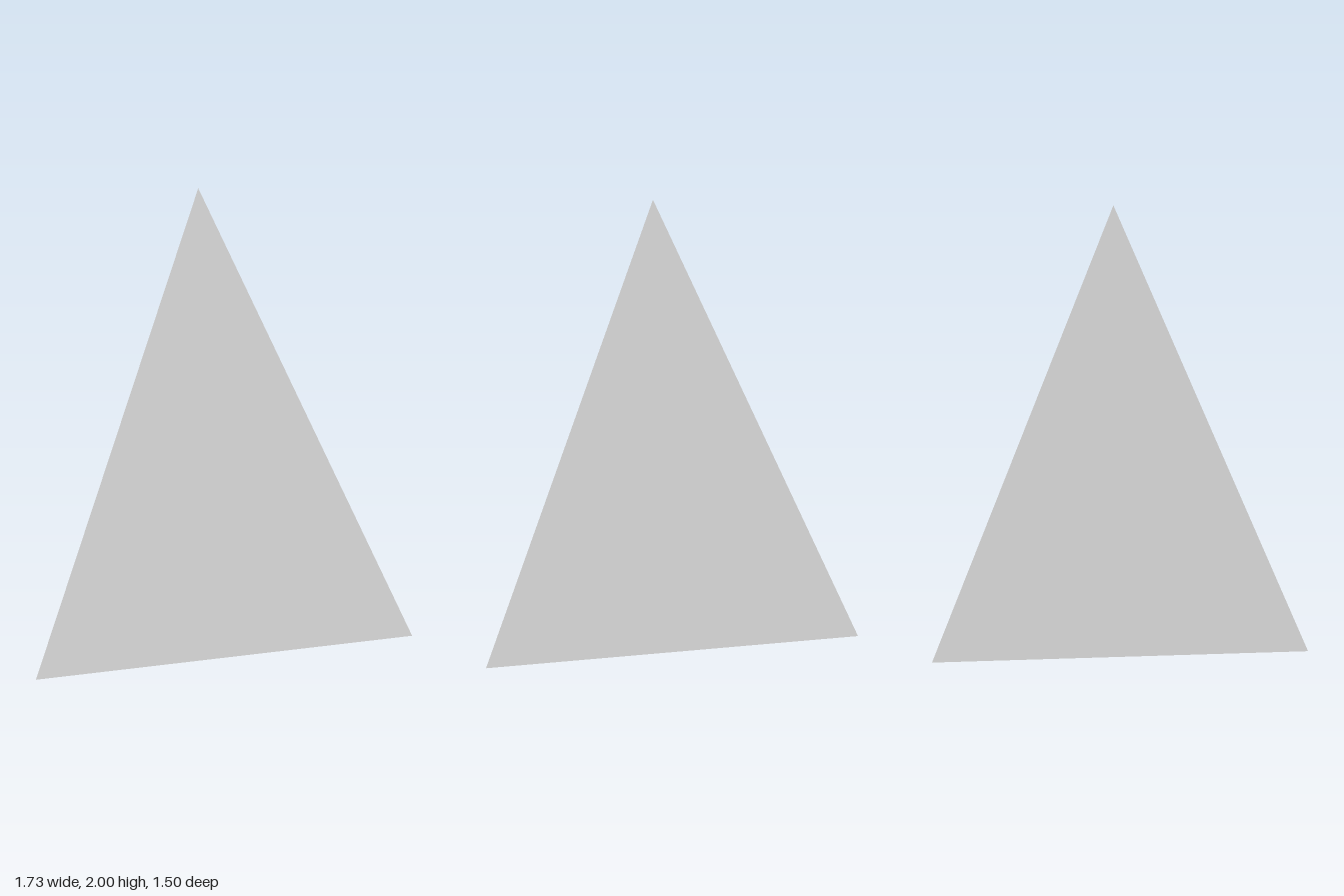
import * as THREE from 'three';
import { ConvexGeometry } from 'three/addons/geometries/ConvexGeometry.js';

const HEIGHT = 2, CENTRE_Z = 0.25, SIN60 = Math.sqrt(3) / 2;

// Point on one of the two slanted rear faces (side: -1 or +1) at height y and depth z
function onSide(side, y, z) {
  const scale = 1 - y / HEIGHT;
  return new THREE.Vector3(side * 0.5 * (scale + z - CENTRE_Z) / SIN60, y, z);
}
// Point on the slanted front edge (side: -1 or +1) at height y
const onFrontEdge = (side, y) => onSide(side, y, CENTRE_Z + 0.5 * (1 - y / HEIGHT));
// Point on the base
const onBase = (x, z) => new THREE.Vector3(x, 0, z);

export function createModel() {
  const group = new THREE.Group();
  const material = new THREE.MeshStandardMaterial({ color: 0xcccccc, flatShading: true });

  // Pyramid corners
  const apex = new THREE.Vector3(0, HEIGHT, CENTRE_Z);
  const back = onBase(0, -0.75);

  // Where the cuts between the pieces meet the surface
  const backEdge = new THREE.Vector3(0, 1.055, -0.2225);
  const right = {
    corner: onFrontEdge(-1, 0), edge: onFrontEdge(-1, 0.69), joint: onSide(-1, 0.49, 0.25),
    foot: onSide(-1, 0, 0.03), front: onBase(-0.005, 0.75), inner: onBase(-0.005, 0.71),
  };
  const left = {
    corner: onFrontEdge(1, 0), edge: onFrontEdge(1, 0.445), joint: onSide(1, 0.35, 0.43),
    foot: onSide(1, 0, 0.36), front: onBase(0.16, 0.75), inner: onBase(0.168, 0.717),
  };

  function addPiece(name, points) {
    const mesh = new THREE.Mesh(new ConvexGeometry(points), material);
    mesh.name = name;
    group.add(mesh);
  }

  // Upper piece, reaching down to the front base edge
  addPiece('topPiece', [apex, backEdge,
    ...[right, left].flatMap((s) => [s.edge, s.joint, s.front, s.inner])]);

  // Lower back piece
  addPiece('backPiece', [back, backEdge,
    ...[right, left].flatMap((s) => [s.joint, s.foot, s.inner])]);

  // Two front corner pieces
  addPiece('rightCornerPiece', Object.values(right));
  addPiece('leftCornerPiece', Object.values(left));

  return group;
}
